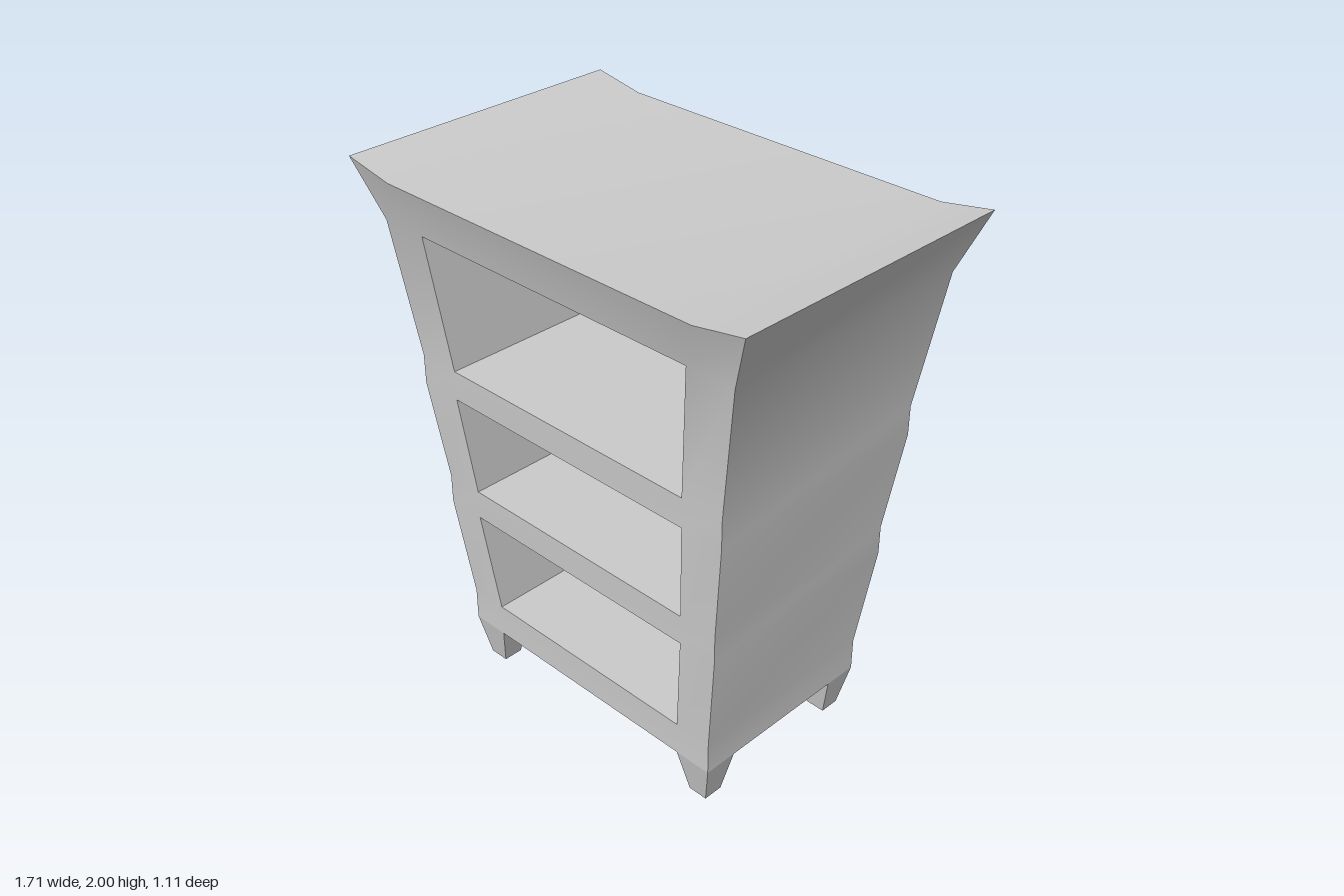
import * as THREE from 'three';
import { toCreasedNormals } from 'three/addons/utils/BufferGeometryUtils.js';

// Levels of the flared body: height, half width, half width of openings, half depth
const LEVELS = [
  [0.165, 0.595, 0.45, 0.38],
  [0.29, 0.595, 0.45, 0.38],
  [0.69, 0.645, 0.495, 0.415],
  [0.8, 0.645, 0.495, 0.415],
  [1.18, 0.695, 0.53, 0.45],
  [1.29, 0.695, 0.53, 0.45],
  [1.785, 0.77, 0.585, 0.495],
  [2.0, 0.855, 0.66, 0.555],
];
const LAST = LEVELS.length - 1;
const OPEN_ROWS = [1, 3, 5];
const SAG = 0.035; // the middle of the top lies lower than its ends
const RECESS = -0.62; // back of the recesses, as a share of half depth

// Point on the front face; col 0..3 runs from outer -x to outer +x
function facePoint(level, col) {
  const [y, outer, inner, z] = LEVELS[level];
  const x = [-outer, -inner, inner, outer][col];
  const middle = col === 1 || col === 2;
  return [x, level === LAST && middle ? y - SAG : y, z];
}

const withZ = (p, z) => [p[0], p[1], z];

// Mesh from quads, corners counter-clockwise
function quadMesh(name, quads, material) {
  const pos = [];
  for (const [a, b, c, d] of quads) pos.push(...a, ...b, ...c, ...a, ...c, ...d);
  const geo = new THREE.BufferGeometry();
  geo.setAttribute('position', new THREE.Float32BufferAttribute(pos, 3));
  const mesh = new THREE.Mesh(toCreasedNormals(geo, 0.7), material);
  mesh.name = name;
  return mesh;
}

// Front or back face, optionally leaving the drawer openings free
function faceQuads(open) {
  const quads = [];
  for (let i = 0; i < LAST; i++) {
    for (let c = 0; c < 3; c++) {
      if (open && c === 1 && OPEN_ROWS.includes(i)) continue;
      quads.push([facePoint(i, c), facePoint(i, c + 1), facePoint(i + 1, c + 1), facePoint(i + 1, c)]);
    }
  }
  return quads;
}

// Five inner walls of one drawer recess
function recessQuads(row) {
  const front = [facePoint(row, 1), facePoint(row, 2), facePoint(row + 1, 2), facePoint(row + 1, 1)];
  const [a, b, c, d] = front;
  const [a2, b2, c2, d2] = front.map((p) => withZ(p, p[2] * RECESS));
  return [
    [a, a2, d2, d], [b2, b, c, c2], // sides
    [a, b, b2, a2], [d2, c2, c, d], // floor and ceiling
    [a2, b2, c2, d2], // back
  ];
}

// Tapered foot made from a box
function legGeometry(sx, sz) {
  const geo = new THREE.BoxGeometry(1, 1, 1);
  const p = geo.attributes.position;
  for (let i = 0; i < p.count; i++) {
    const top = p.getY(i) > 0;
    const [w, d] = top ? [0.145, 0.13] : [0.075, 0.075];
    const [cx, cz] = top ? [0.5225, 0.315] : [0.5225, 0.3125];
    p.setXYZ(i, sx * cx + p.getX(i) * w, top ? LEVELS[0][0] : 0, sz * cz + p.getZ(i) * d);
  }
  geo.computeVertexNormals();
  return geo;
}

export function createModel() {
  const material = new THREE.MeshStandardMaterial({ color: 0xcccccc });
  const group = new THREE.Group();
  group.name = 'chestOfDrawers';

  // Front frame and closed back
  group.add(quadMesh('frontFrame', faceQuads(true), material));
  const back = quadMesh('backPanel', faceQuads(false), material);
  back.rotation.y = Math.PI;
  group.add(back);

  // Side panels
  const sideQuads = [];
  for (let i = 0; i < LAST; i++) {
    const lo = facePoint(i, 3), hi = facePoint(i + 1, 3);
    sideQuads.push([lo, withZ(lo, -lo[2]), withZ(hi, -hi[2]), hi]);
  }
  ['leftSide', 'rightSide'].forEach((name, k) => {
    const side = quadMesh(name, sideQuads, material);
    side.rotation.y = k * Math.PI;
    group.add(side);
  });

  // Top with upturned ends
  const topQuads = [0, 1, 2].map((c) => {
    const a = facePoint(LAST, c), b = facePoint(LAST, c + 1);
    return [a, b, withZ(b, -b[2]), withZ(a, -a[2])];
  });
  group.add(quadMesh('top', topQuads, material));

  // Underside
  const l = facePoint(0, 0), r = facePoint(0, 3);
  group.add(quadMesh('underside', [[withZ(l, -l[2]), withZ(r, -r[2]), r, l]], material));

  // Drawer recesses
  OPEN_ROWS.forEach((row, i) => {
    group.add(quadMesh(`drawerRecess${i + 1}`, recessQuads(row), material));
  });

  // Legs
  for (const sx of [-1, 1]) {
    for (const sz of [-1, 1]) {
      const leg = new THREE.Mesh(legGeometry(sx, sz), material);
      leg.name = `${sz > 0 ? 'front' : 'back'}${sx > 0 ? 'Left' : 'Right'}Leg`;
      group.add(leg);
    }
  }
  return group;
}
